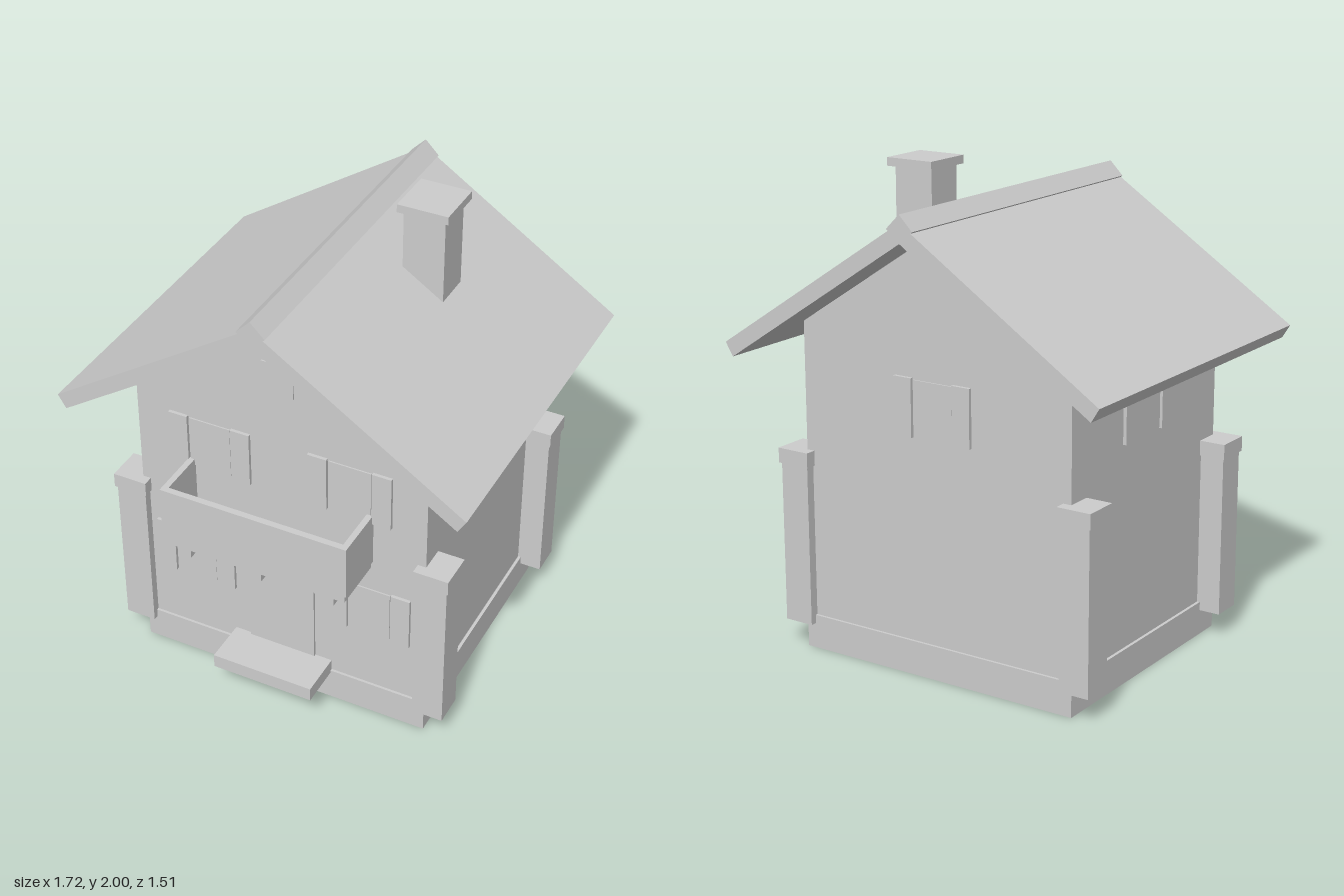
import * as THREE from 'three';

export function createModel() {
  const house = new THREE.Group();
  house.name = 'house';
  const stone = new THREE.MeshStandardMaterial({ color: 0xcccccc });
  stone.name = 'pale grey';

  const add = (name, geometry, parent = house) => {
    const mesh = new THREE.Mesh(geometry, stone);
    mesh.name = name;
    parent.add(mesh);
    return mesh;
  };
  // box given by its limits on each axis
  const box = (name, x0, x1, y0, y1, z0, z1, parent) => {
    const mesh = add(name, new THREE.BoxGeometry(x1 - x0, y1 - y0, z1 - z0), parent);
    mesh.position.set((x0 + x1) / 2, (y0 + y1) / 2, (z0 + z1) / 2);
    return mesh;
  };
  // front-facing outline pulled along z
  const prism = (name, points, z0, z1) => {
    const shape = new THREE.Shape(points.map(([x, y]) => new THREE.Vector2(x, y)));
    const geometry = new THREE.ExtrudeGeometry(shape, { depth: z1 - z0, bevelEnabled: false });
    return add(name, geometry.translate(0, 0, z0));
  };

  // plinth and gabled walls
  const front = 0.525, back = -0.56, side = 0.624;
  box('plinth', -0.637, 0.637, 0, 0.142, -0.571, 0.536);
  prism('walls', [[-side, 0.1], [side, 0.1], [side, 1.371], [0, 1.78], [-side, 1.371]], back, front);

  // roof with overhang and diamond ridge
  prism('roof', [[-0.825, 1.239], [0, 1.78], [0.825, 1.239], [0.859, 1.294], [0, 1.857], [-0.859, 1.294]], -0.757, 0.72);
  prism('ridgeCap', [[0, 1.772 + 0.01], [0.059, 1.83], [0, 1.889], [-0.059, 1.83]], -0.757, 0.72);

  // chimney
  box('chimney', 0.212, 0.385, 1.55, 1.968, -0.263, -0.098);
  box('chimneyCap', 0.194, 0.406, 1.966, 2, -0.289, -0.074);

  // corner pillars with caps
  for (const s of [-1, 1]) {
    for (const [z, label] of [[0.493, 'front'], [-0.531, 'back']]) {
      const x = s * 0.662;
      box(label + 'Pillar', x - 0.065, x + 0.065, 0.106, 0.782, z - 0.067, z + 0.067);
      box(label + 'PillarCap', x - 0.073, x + 0.073, 0.78, 0.842, z - 0.076, z + 0.076);
    }
  }

  // window with a pair of shutters, built facing +z
  const shutteredWindow = (x, y, z, turn = 0) => {
    const g = new THREE.Group();
    g.name = 'shutteredWindow';
    box('pane', -0.089, 0.089, -0.112, 0.112, -0.004, 0.006, g);
    for (const s of [-1, 1]) {
      const shutter = box('shutter', -0.041, 0.041, -0.119, 0.119, -0.004, 0.014, g);
      shutter.position.x = s * 0.136;
    }
    g.position.set(x, y, z);
    g.rotation.y = turn;
    house.add(g);
  };
  for (const s of [-1, 1]) {
    shutteredWindow(s * 0.302, 1.1, front);
    shutteredWindow(s * 0.388, 0.53, front);
    shutteredWindow(s * side, 1.1, -0.018, s * Math.PI / 2);
  }
  shutteredWindow(0, 1.1, back, Math.PI);
  box('atticWindow', -0.067, 0.067, 1.448, 1.586, front - 0.004, front + 0.006);

  // door and step
  box('door', -0.146, 0.146, 0.18, 0.684, front - 0.004, front + 0.01);
  box('doorStep', -0.22, 0.22, 0.13, 0.19, front - 0.01, 0.714);

  // balcony: floor, three parapets and brackets
  box('balconyFloor', -0.392, 0.392, 0.753, 0.787, front - 0.01, 0.754);
  box('balconyFront', -0.4, 0.4, 0.785, 1.016, 0.73, 0.757);
  for (const s of [-1, 1]) {
    const panel = box('balconySide', -0.0125, 0.0125, 0.785, 1.016, front - 0.01, 0.73);
    panel.position.x = s * 0.3875;
  }
  for (const x of [-0.312, 0, 0.312]) {
    box('balconyBracket', x - 0.024, x + 0.024, 0.7, 0.755, front - 0.01, 0.735);
  }
  return house;
}
